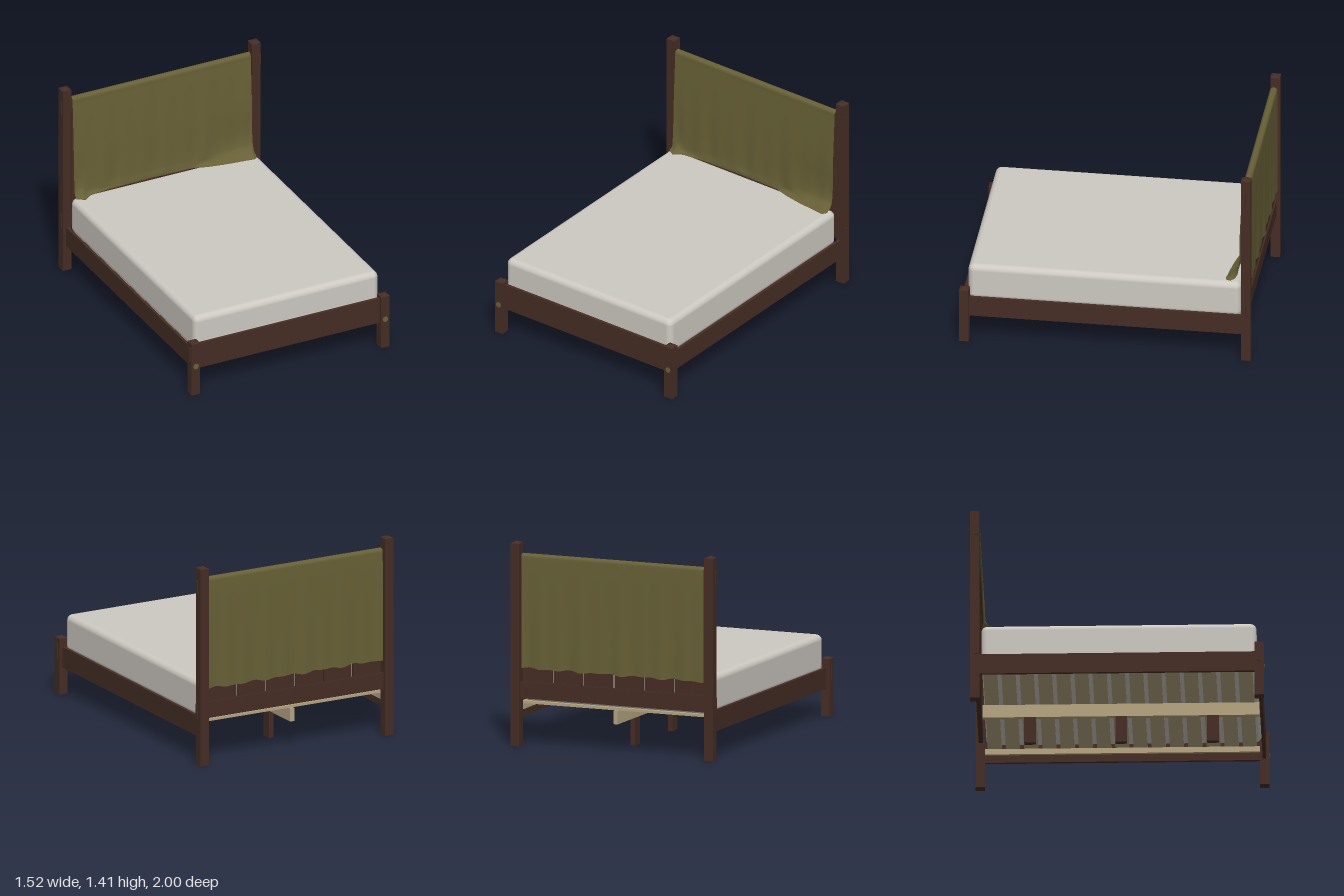
import * as THREE from 'three';
import { RoundedBoxGeometry } from 'three/addons/geometries/RoundedBoxGeometry.js';

const mat = (name, color, side = THREE.FrontSide) => {
  const m = new THREE.MeshStandardMaterial({ color, side });
  m.name = name;
  return m;
};

// Linear interpolation through [x, value] pairs
function lerpTable(table, x) {
  for (let i = 1; i < table.length; i++) {
    const [x0, v0] = table[i - 1], [x1, v1] = table[i];
    if (x <= x1) return v0 + (v1 - v0) * THREE.MathUtils.clamp((x - x0) / (x1 - x0), 0, 1);
  }
  return table[table.length - 1][1];
}

// Canvas draped over the headboard, its front hem lying on the mattress
function drapeGeometry() {
  const hem = [[-0.68, -0.87], [-0.63, -0.835], [-0.57, -0.88], [-0.4, -0.895], [-0.1, -0.9],
    [0.22, -0.895], [0.32, -0.865], [0.45, -0.84], [0.58, -0.825], [0.66, -0.815], [0.68, -0.85]];
  const cols = 80, rows = 60;
  const geo = new THREE.PlaneGeometry(1.36, 1, cols, rows);
  const pos = geo.attributes.position;
  for (let c = 0; c <= cols; c++) {
    const x = -0.68 + 1.36 * c / cols;
    const hz = lerpTable(hem, x);
    const ripple = Math.sin(x * 23) * 0.5 + Math.sin(x * 41 + 1) * 0.5;
    const P = (y, z) => new THREE.Vector3(x, y, z);
    const curve = new THREE.CatmullRomCurve3([
      P(0.54 + 0.008 * ripple, -0.984 + 0.006 * ripple),
      P(0.9, -0.985 + 0.003 * ripple),
      P(1.29, -0.985), P(1.318, -0.982), P(1.33, -0.968),
      P(1.33, -0.95), P(1.318, -0.937), P(1.28, -0.934),
      P(0.95, -0.917 + 0.002 * ripple),
      P(0.64, -0.904 + 0.004 * ripple),
      P(0.592 + 0.004 * ripple, Math.max(-0.897, hz - 0.03)),
      P(0.574, hz),
      P(0.57, hz - 0.015),
    ], false, 'centripetal');
    for (let r = 0; r <= rows; r++) {
      const p = curve.getPoint(r / rows);
      pos.setXYZ(r * (cols + 1) + c, p.x, p.y, p.z);
    }
  }
  geo.computeVertexNormals();
  return geo;
}

export function createModel() {
  const model = new THREE.Group();
  model.name = 'bed';
  const wood = mat('dark wood', 0x452d24);
  const pine = mat('pale pine', 0xb5a580);
  const linen = mat('mattress fabric', 0xcdc9c2);
  const canvas = mat('olive canvas', 0x676036, THREE.DoubleSide);
  const brass = mat('aged brass', 0x6a6138);

  const add = (name, geo, material, x = 0, y = 0, z = 0) => {
    const mesh = new THREE.Mesh(geo, material);
    mesh.name = name;
    mesh.position.set(x, y, z);
    model.add(mesh);
    return mesh;
  };
  // Box given by its extents on each axis
  const box = (name, material, x0, x1, y0, y1, z0, z1) =>
    add(name, new THREE.BoxGeometry(x1 - x0, y1 - y0, z1 - z0), material,
      (x0 + x1) / 2, (y0 + y1) / 2, (z0 + z1) / 2);

  // Square post with a shallow pyramid cap
  const W = 0.065;
  const post = (name, x, z, height) => {
    const cap = 0.016;
    box(name, wood, x - W / 2, x + W / 2, 0, height - cap, z - W / 2, z + W / 2);
    const cone = new THREE.ConeGeometry(W / Math.SQRT2, cap, 4, 1, true).toNonIndexed();
    cone.rotateY(Math.PI / 4);
    cone.computeVertexNormals();
    add(name + 'Cap', cone, wood, x, height - cap / 2, z);
  };

  for (const s of [-1, 1]) {
    const side = s > 0 ? 'left' : 'right';
    const x = s * 0.7225;
    post(side + 'FrontPost', x, 0.9675, 0.412);
    post(side + 'BackPost', x, -0.9675, 1.415);

    // Through tenons showing on the outer post faces
    for (const [y0, y1, z] of [[0.25, 0.36, 0.967], [0.33, 0.435, -0.955], [1.22, 1.31, -0.955]])
      add(side + 'Tenon', new THREE.BoxGeometry(0.01, y1 - y0, 0.022), wood, s * 0.757, (y0 + y1) / 2, z);

    // Bolt cover on the front post
    const bolt = new THREE.CylinderGeometry(0.02, 0.02, 0.006, 24);
    bolt.rotateX(Math.PI / 2);
    add(side + 'BoltCover', bolt, brass, x, 0.22, 1.0);

    // Side rail and its slat ledger
    add(side + 'Rail', new THREE.BoxGeometry(0.02, 0.145, 1.88), wood, s * 0.72, 0.2625, 0);
    add(side + 'Ledger', new THREE.BoxGeometry(0.018, 0.04, 1.87), pine, s * 0.701, 0.265, 0);
  }

  // Foot rail and headboard rails
  box('footRail', wood, -0.695, 0.695, 0.19, 0.378, 0.955, 0.977);
  box('lowerHeadRail', wood, -0.695, 0.695, 0.33, 0.445, -0.978, -0.948);
  box('upperHeadRail', wood, -0.695, 0.695, 1.22, 1.315, -0.972, -0.948);

  // Vertical headboard boards with narrow gaps
  const boards = 6, boardPitch = 1.36 / boards;
  for (let i = 0; i < boards; i++) {
    const x = -0.68 + boardPitch * i;
    box('headBoard', wood, x + 0.006, x + boardPitch - 0.006, 0.44, 1.23, -0.968, -0.953);
  }

  // Centre beam on three legs
  box('centreBeam', pine, -0.016, 0.016, 0.192, 0.285, -0.935, 0.952);
  for (const z of [0.635, 0.01, -0.61])
    box('centreLeg', wood, -0.018, 0.018, 0, 0.192, z - 0.04, z + 0.04);

  // Cross slats
  const slats = 15, pitch = 1.86 / slats;
  for (let i = 0; i < slats; i++) {
    const z = -0.93 + pitch * (i + 0.5);
    box('slat', pine, -0.708, 0.708, 0.285, 0.303, z - 0.048, z + 0.048);
  }

  // Mattress
  add('mattress', new RoundedBoxGeometry(1.41, 0.262, 1.872, 6, 0.042), linen, 0, 0.435, 0.011);

  // Draped cover
  add('headboardCover', drapeGeometry(), canvas);
  return model;
}
